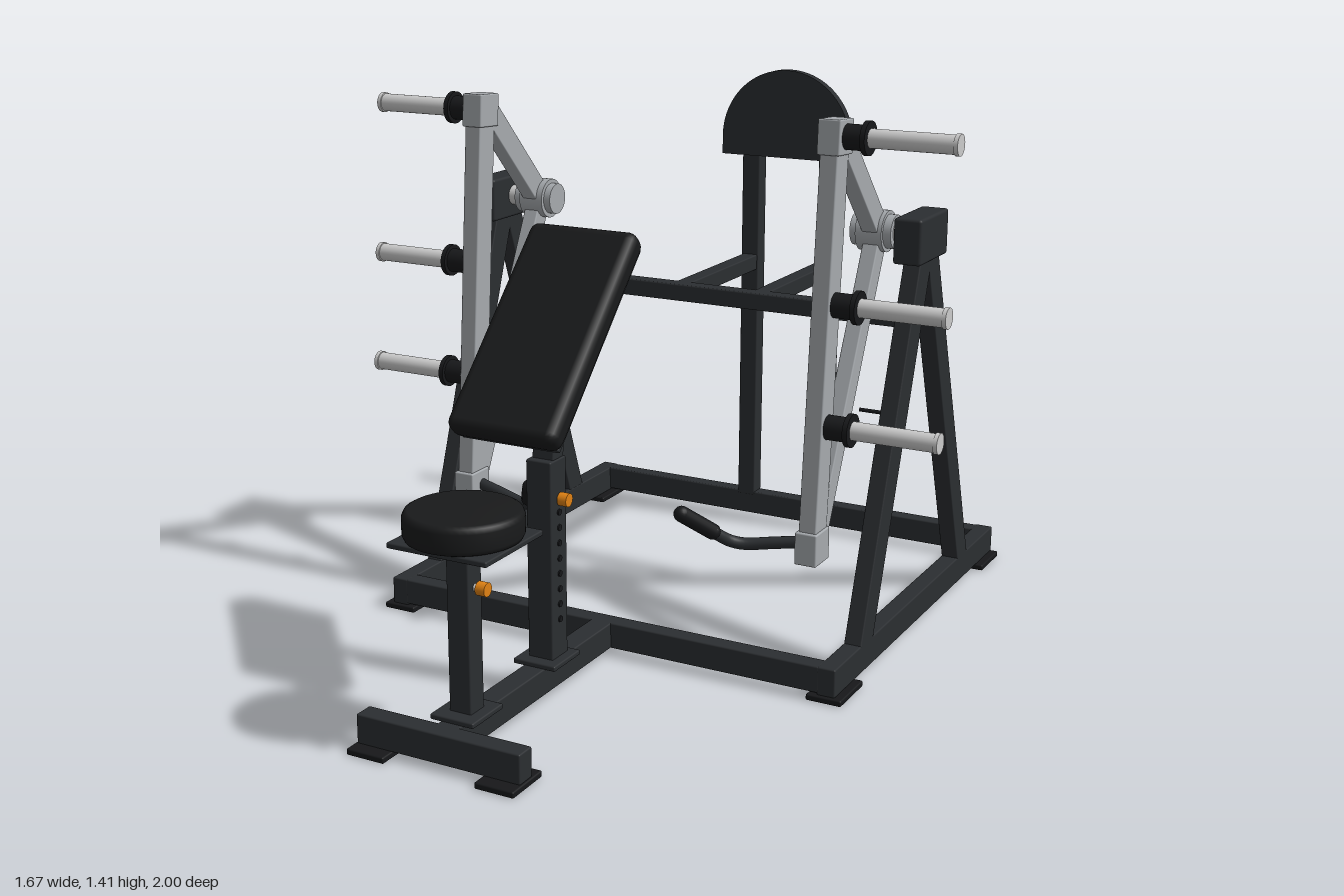
import * as THREE from 'three';
import { RoundedBoxGeometry } from 'three/addons/geometries/RoundedBoxGeometry.js';

const mat = (color) => new THREE.MeshStandardMaterial({ color });
const FRAME = mat(0x2b2e31), RUBBER = mat(0x17181a), PAD = mat(0x191a1b);
const ARM = mat(0xa6aaae), STEEL = mat(0xcccccc), KNOB = mat(0xe08214);

function add(parent, name, geometry, material, x = 0, y = 0, z = 0) {
  const mesh = new THREE.Mesh(geometry, material);
  mesh.name = name;
  mesh.position.set(x, y, z);
  parent.add(mesh);
  return mesh;
}

// Slightly rounded box given by its limits on each axis
function box(parent, name, material, [x0, x1], [y0, y1], [z0, z1], r = 0.004) {
  const geo = new RoundedBoxGeometry(x1 - x0, y1 - y0, z1 - z0, 2, r);
  return add(parent, name, geo, material, (x0 + x1) / 2, (y0 + y1) / 2, (z0 + z1) / 2);
}

// Box-section beam in a plane of constant x, between two [y, z] points
function beam(parent, name, material, x, [y0, z0], [y1, z1], width, depth) {
  const len = Math.hypot(y1 - y0, z1 - z0);
  const geo = new RoundedBoxGeometry(width, len, depth, 2, 0.004);
  const m = add(parent, name, geo, material, x, (y0 + y1) / 2, (z0 + z1) / 2);
  m.rotation.x = Math.atan2(z1 - z0, y1 - y0);
  return m;
}

// Cylinder lying along x
function rod(parent, name, material, x0, x1, y, z, r) {
  const geo = new THREE.CylinderGeometry(r, r, Math.abs(x1 - x0), 32).rotateZ(Math.PI / 2);
  return add(parent, name, geo, material, (x0 + x1) / 2, y, z);
}

function tube(parent, name, material, points, r) {
  const curve = new THREE.CatmullRomCurve3(points.map((p) => new THREE.Vector3(...p)), false, 'centripetal');
  add(parent, name, new THREE.TubeGeometry(curve, 32, r, 16), material);
  // Rounded ends
  for (const p of [points[0], points[points.length - 1]]) add(parent, name + 'End', new THREE.SphereGeometry(r, 16, 12), material, ...p);
}

function span(s, a, b) { return s > 0 ? [a, b] : [-b, -a]; }

function buildBase(g) {
  box(g, 'frontCrossRail', FRAME, [-0.62, 0.62], [0.02, 0.09], [0.15, 0.2]);
  box(g, 'rearCrossRail', FRAME, [-0.62, 0.62], [0.02, 0.09], [-0.99, -0.945]);
  box(g, 'centreRail', FRAME, [-0.03, 0.03], [0.02, 0.09], [0.19, 0.92]);
  box(g, 'frontFootBar', FRAME, [-0.225, 0.225], [0.015, 0.09], [0.91, 0.963]);
  for (const s of [1, -1]) {
    box(g, 'sideRail', FRAME, span(s, 0.615, 0.664), [0.015, 0.09], [-0.995, 0.2]);
    box(g, 'cornerFoot', RUBBER, span(s, 0.59, 0.685), [0, 0.016], [0.065, 0.21]);
    box(g, 'cornerFoot', RUBBER, span(s, 0.59, 0.685), [0, 0.016], [-0.995, -0.855]);
    box(g, 'frontFoot', RUBBER, span(s, 0.125, 0.23), [0, 0.016], [0.875, 1.0]);
  }
}

function buildRearFrame(g) {
  box(g, 'middleCrossbar', FRAME, [-0.62, 0.62], [0.802, 0.85], [-0.51, -0.462]);
  for (const s of [1, -1]) {
    box(g, 'rearUpright', FRAME, span(s, 0.096, 0.152), [0.08, 1.25], [-0.993, -0.944]);
    box(g, 'rearBrace', FRAME, span(s, 0.1, 0.146), [0.804, 0.85], [-0.95, -0.5]);
    // A-shaped side frames
    beam(g, 'frontLeg', FRAME, s * 0.64, [0.06, 0], [1.06, -0.35], 0.048, 0.078);
    beam(g, 'rearLeg', FRAME, s * 0.64, [0.06, -0.74], [1.06, -0.375], 0.048, 0.074);
    box(g, 'pivotHousing', FRAME, span(s, 0.6, 0.676), [1.02, 1.14], [-0.457, -0.257], 0.008);
    rod(g, 'armStop', RUBBER, s * 0.545, s * 0.63, 0.64, -0.205, 0.005);
  }
  // Round-topped plate
  const r = 0.205, shape = new THREE.Shape();
  shape.moveTo(-r, 1.157);
  shape.lineTo(r, 1.157);
  shape.lineTo(r, 1.21);
  shape.absarc(0, 1.21, r, 0, Math.PI, false);
  shape.closePath();
  const plate = new THREE.ExtrudeGeometry(shape, { depth: 0.028, bevelEnabled: false, curveSegments: 32 });
  add(g, 'headPlate', plate, FRAME, 0, 0, -0.942);
}

function knob(g, y, z) {
  rod(g, 'adjusterStem', STEEL, 0.03, 0.042, y, z, 0.009);
  rod(g, 'adjusterKnob', KNOB, 0.04, 0.065, y, z, 0.017);
}

function buildSeat(g) {
  box(g, 'seatPost', FRAME, [-0.03, 0.03], [0.09, 0.52], [0.805, 0.862]);
  box(g, 'seatPostFlange', FRAME, [-0.06, 0.06], [0.088, 0.102], [0.77, 0.9]);
  box(g, 'seatPlate', FRAME, [-0.135, 0.135], [0.512, 0.526], [0.7, 0.945]);
  // Round cushion
  const profile = [[0, 0], [0.128, 0], [0.137, 0.004], [0.142, 0.015], [0.142, 0.055], [0.137, 0.066], [0.128, 0.071], [0, 0.072]];
  const cushion = new THREE.LatheGeometry(profile.map((p) => new THREE.Vector2(...p)), 48);
  add(g, 'seatCushion', cushion, PAD, 0, 0.525, 0.828);
  knob(g, 0.41, 0.833);
}

function buildChestSupport(g) {
  box(g, 'chestPost', FRAME, [-0.035, 0.035], [0.09, 0.615], [0.428, 0.502]);
  box(g, 'chestPostFlange', FRAME, [-0.06, 0.06], [0.088, 0.102], [0.41, 0.535]);
  for (let i = 0; i < 8; i++) rod(g, 'adjustmentHole', RUBBER, 0.03, 0.039, 0.2 + i * 0.04, 0.465, 0.008);
  beam(g, 'chestInnerPost', FRAME, 0, [0.5, 0.468], [0.9, 0.425], 0.06, 0.05);
  knob(g, 0.515, 0.465);
  const chest = new THREE.Group();
  chest.name = 'chestPad';
  chest.position.set(0, 0.917, 0.45);
  chest.rotation.x = -0.77;
  g.add(chest);
  box(chest, 'chestCushion', PAD, [-0.15, 0.15], [-0.295, 0.295], [-0.024, 0.044], 0.025);
  box(chest, 'chestBackPlate', FRAME, [-0.135, 0.135], [-0.285, 0.285], [-0.036, -0.022]);
}

function buildArm(g, s) {
  const arm = new THREE.Group();
  arm.name = s > 0 ? 'leftArm' : 'rightArm';
  g.add(arm);
  const x = s * 0.515;
  // Lever and its two braces to the pivot
  beam(arm, 'lever', ARM, x, [0.33, 0.017], [1.38, -0.066], 0.048, 0.072);
  box(arm, 'leverLowerCap', ARM, span(s, 0.485, 0.545), [0.29, 0.376], [-0.026, 0.06]);
  const cap = box(arm, 'leverUpperCap', ARM, span(s, 0.485, 0.545), [1.322, 1.41], [-0.11, -0.022]);
  cap.rotation.x = -0.06;
  beam(arm, 'upperBrace', ARM, x, [1.37, -0.08], [1.08, -0.36], 0.044, 0.066);
  beam(arm, 'lowerBrace', ARM, x, [0.34, 0], [1.07, -0.355], 0.044, 0.055);
  // Pivot
  rod(arm, 'pivotHub', ARM, s * 0.475, s * 0.548, 1.083, -0.362, 0.055);
  rod(arm, 'pivotCap', ARM, s * 0.455, s * 0.477, 1.083, -0.362, 0.043);
  rod(arm, 'pivotCollar', ARM, s * 0.545, s * 0.57, 1.083, -0.362, 0.045);
  rod(arm, 'pivotShaft', STEEL, s * 0.565, s * 0.605, 1.083, -0.362, 0.028);
  // Weight pegs
  for (const [y, z] of [[1.367, -0.067], [0.952, -0.035], [0.643, -0.01]]) {
    rod(arm, 'pegCollar', RUBBER, s * 0.53, s * 0.597, y, z, 0.032);
    rod(arm, 'pegFlange', RUBBER, s * 0.594, s * 0.607, y, z, 0.043);
    rod(arm, 'weightPeg', STEEL, s * 0.6, s * 0.83, y, z, 0.024);
    rod(arm, 'pegTip', STEEL, s * 0.825, s * 0.836, y, z, 0.027);
  }
  // Bent handle
  tube(arm, 'handle', FRAME, [
    [s * 0.5, 0.336, 0.005], [s * 0.42, 0.325, 0.022], [s * 0.335, 0.315, 0.045],
    [s * 0.305, 0.324, 0.063], [s * 0.285, 0.345, 0.09], [s * 0.225, 0.418, 0.178]], 0.016);
  tube(arm, 'handGrip', RUBBER, [[s * 0.276, 0.356, 0.103], [s * 0.225, 0.418, 0.178]], 0.021);
}

export function createModel() {
  const model = new THREE.Group();
  model.name = 'chestSupportedRowMachine';
  buildBase(model);
  buildRearFrame(model);
  buildSeat(model);
  buildChestSupport(model);
  for (const s of [1, -1]) buildArm(model, s);
  return model;
}
